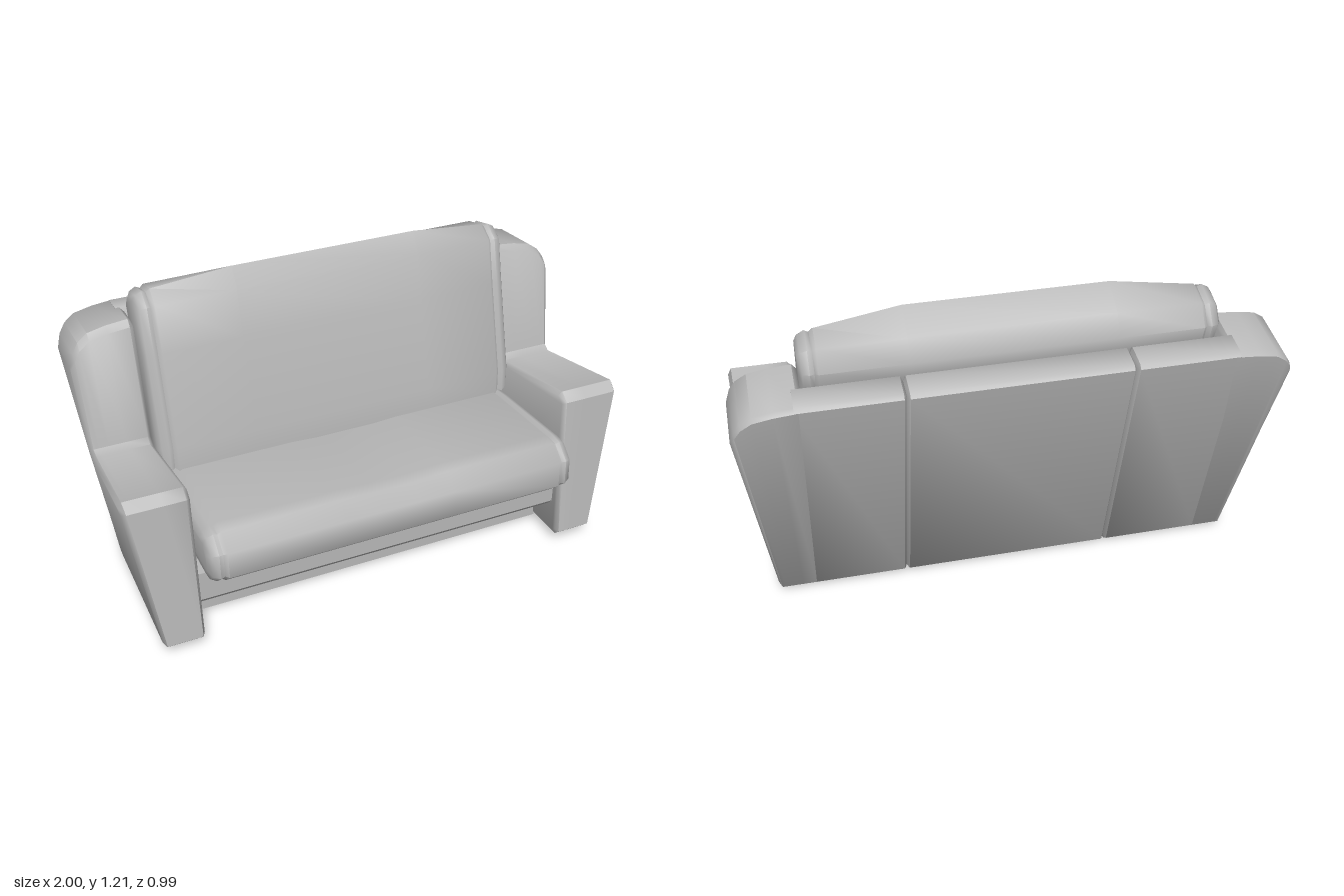
import * as THREE from 'three';
import { toCreasedNormals } from 'three/addons/utils/BufferGeometryUtils.js';

const grey = new THREE.MeshStandardMaterial({ color: 0xb8b8b8 });
grey.name = 'light grey';

// Profiles are [z, y] points running bottom front, bottom back, top back, top front.
function inset(profile, d) {
  const n = profile.length;
  const normal = (a, b) => {
    const dz = b[0] - a[0], dy = b[1] - a[1], l = Math.hypot(dz, dy);
    return [dy / l, -dz / l]; // points inward
  };
  return profile.map((p, i) => {
    const u = normal(profile[(i + n - 1) % n], p);
    const v = normal(p, profile[(i + 1) % n]);
    const k = d / Math.max(0.4, 1 + u[0] * v[0] + u[1] * v[1]);
    return [p[0] + (u[0] + v[0]) * k, p[1] + (u[1] + v[1]) * k];
  });
}

const ring = (profile, x) => profile.map(([z, y]) => new THREE.Vector3(x, y, z));
const flip = (rings) =>
  rings.map((r) => r.map((p) => new THREE.Vector3(-p.x, p.y, p.z))).reverse();

// Joins cross-sections along x and closes both ends
function loft(name, rings, crease) {
  const pos = [];
  const tri = (a, b, c) => [a, b, c].forEach((p) => pos.push(p.x, p.y, p.z));
  const n = rings[0].length;
  for (let i = 0; i + 1 < rings.length; i++) {
    for (let j = 0; j < n; j++) {
      const k = (j + 1) % n;
      tri(rings[i][j], rings[i][k], rings[i + 1][k]);
      tri(rings[i][j], rings[i + 1][k], rings[i + 1][j]);
    }
  }
  [[rings[0], -1], [rings[rings.length - 1], 1]].forEach(([r, side]) => {
    const flat = r.map((p) => new THREE.Vector2(p.z, p.y));
    THREE.ShapeUtils.triangulateShape(flat, []).forEach(([a, b, c]) => {
      const A = flat[a], B = flat[b], C = flat[c];
      const area = (B.x - A.x) * (C.y - A.y) - (B.y - A.y) * (C.x - A.x);
      if (area * side < 0) tri(r[a], r[b], r[c]);
      else tri(r[a], r[c], r[b]);
    });
  });
  const geo = new THREE.BufferGeometry();
  geo.setAttribute('position', new THREE.Float32BufferAttribute(pos, 3));
  const mesh = new THREE.Mesh(toCreasedNormals(geo, crease), grey);
  mesh.name = name;
  return mesh;
}

export function createModel() {
  const model = new THREE.Group();
  model.name = 'sofa';

  // Arms with raised wings: rounded at the top, tapering towards the floor
  const arm = [
    [0.41, 0.065], [0.385, 0.04], [-0.215, 0.003], [-0.25, 0.03], [-0.495, 1.015],
    [-0.48, 1.03], [-0.26, 1.058], [-0.235, 1.035], [-0.14, 0.61], [-0.11, 0.595],
    [0.32, 0.69], [0.36, 0.66],
  ];
  const armSections = [ // x, drop of the wing top, edge inset
    [0.75, 0, 0.015], [0.765, 0, 0], [0.85, 0.008, 0], [0.92, 0.022, 0],
    [0.96, 0.05, 0], [0.983, 0.085, 0], [1.0, 0.115, 0.022],
  ];
  const armRings = armSections.map(([x, drop, edge]) =>
    ring(inset(arm, edge), x).map((p) => {
      if (p.y > 0.8) {
        p.y -= drop;
        p.z += drop * 0.24;
      }
      const k = THREE.MathUtils.mapLinear(Math.min(p.y, 0.69), 0.02, 0.69, 0.6, 1);
      p.x = 0.75 + (p.x - 0.75) * k;
      return p;
    }));
  model.add(loft('leftArm', armRings, 0.83), loft('rightArm', flip(armRings), 0.83));

  // Leaning back in three panels, with bevelled edges making the grooves
  const back = [
    [-0.11, 0.01], [-0.215, 0.003], [-0.25, 0.03], [-0.495, 1.015],
    [-0.48, 1.03], [-0.39, 1.042], [-0.375, 1.03],
  ];
  const bevel = inset(back, 0.018);
  const sidePanel = [ring(bevel, 0.402), ring(back, 0.412), ring(back, 0.78)];
  model.add(
    loft('backCentre', [ring(bevel, -0.402), ring(back, -0.392), ring(back, 0.392), ring(bevel, 0.402)], 0.83),
    loft('backLeft', sidePanel, 0.83),
    loft('backRight', flip(sidePanel), 0.83),
  );

  // Base under the seat with chamfered front edges
  const base = [
    [0.33, 0.162], [-0.17, 0.162], [-0.18, 0.335], [0.34, 0.335], [0.35, 0.31], [0.35, 0.187],
  ];
  model.add(loft('seatBase', [ring(base, -0.755), ring(base, 0.755)], 0.3));

  // Plinth rail set well back from the front
  const rail = new THREE.Mesh(new THREE.BoxGeometry(1.51, 0.145, 0.09), grey);
  rail.position.set(0, 0.0985, 0.18);
  rail.name = 'plinthRail';
  model.add(rail);

  // Seat cushion with a rounded front roll and a slight hollow in the middle
  const seat = [
    [0.44, 0.33], [-0.18, 0.3], [-0.2, 0.48], [0, 0.51], [0.375, 0.546],
    [0.43, 0.543], [0.492, 0.488], [0.498, 0.385],
  ];
  const hollow = seat.map(([z, y], i) => [z, i > 1 && i < 6 ? y - 0.008 : y]);
  const seatHalf = [ring(hollow, 0.08), ring(seat, 0.22), ring(seat, 0.67),
    ring(inset(seat, 0.01), 0.684), ring(inset(seat, 0.004), 0.7),
    ring(inset(seat, 0.018), 0.725), ring(inset(seat, 0.045), 0.737)];
  model.add(loft('seatCushion', [...flip(seatHalf), ...seatHalf], 1.0));

  // Back cushion, its top ridge rising in the middle
  const rest = [
    [-0.03, 0.5], [-0.18, 0.48], [-0.36, 1.01], [-0.382, 1.08], [-0.33, 1.15],
    [-0.235, 1.176], [-0.17, 1.135], [-0.128, 0.96], [-0.035, 0.6],
  ];
  const ridge = rest.map((p, i) => (i === 5 ? [-0.215, 1.215] : p));
  const restHalf = [ring(ridge, 0.37), ring(rest, 0.68),
    ring(inset(rest, 0.012), 0.694), ring(inset(rest, 0.004), 0.71),
    ring(inset(rest, 0.016), 0.735), ring(inset(rest, 0.035), 0.747)];
  model.add(loft('backCushion', [...flip(restHalf), ...restHalf], 1.0));

  return model;
}
